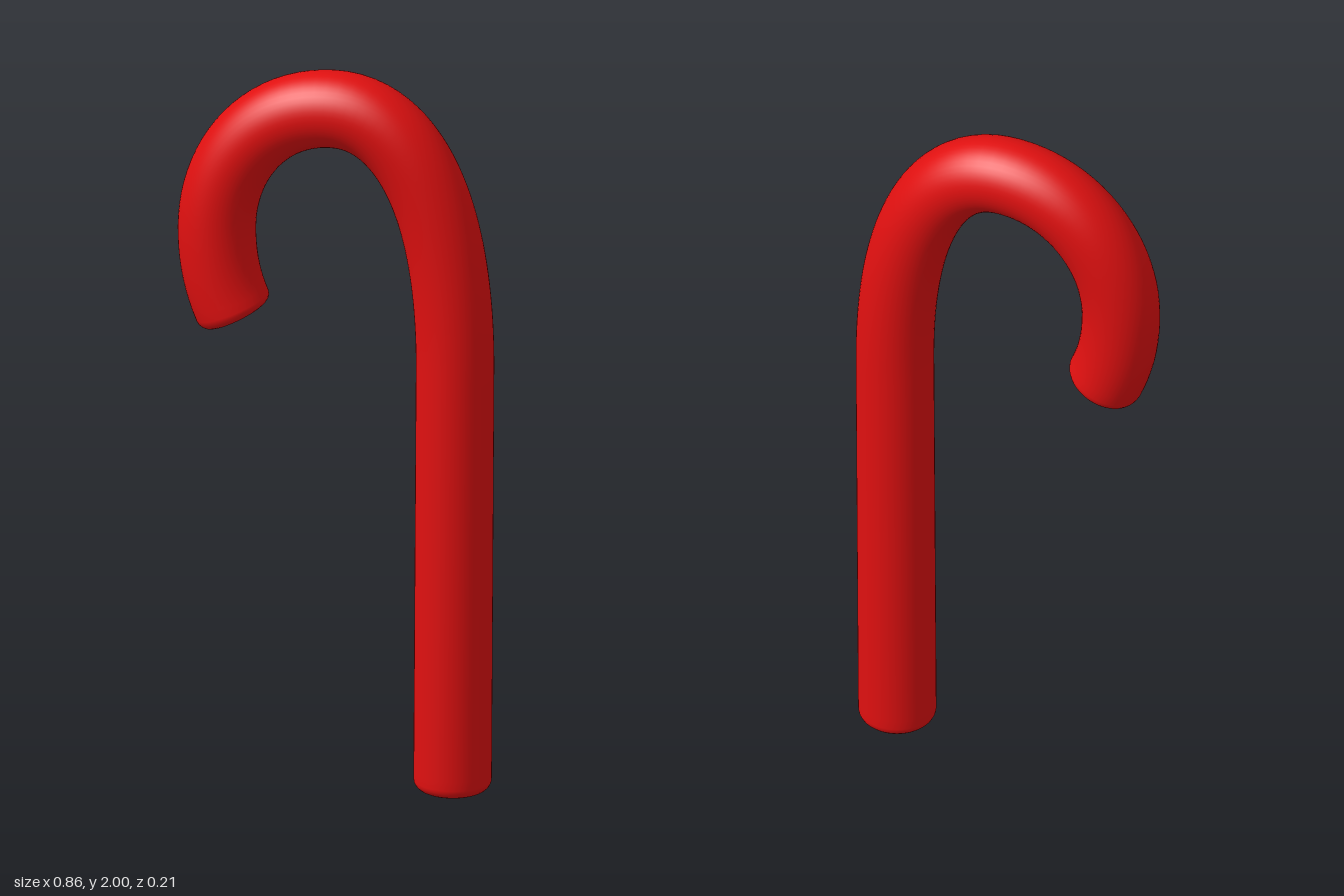
import * as THREE from 'three';

const RADIUS = 0.104, BEVEL = 0.028, SIDES = 48, STEPS = 110, BEVEL_STEPS = 5;
const v = (x, y) => new THREE.Vector3(x, y, 0);

// Centre line: shaft, then crook over the top and down to the tip
function centreLine() {
  const path = new THREE.CurvePath();
  path.add(new THREE.LineCurve3(v(0.318, 0), v(0.325, 1.2)));
  path.add(new THREE.CubicBezierCurve3(v(0.325, 1.2), v(0.325, 1.68), v(0.18, 1.896), v(0, 1.896)));
  path.add(new THREE.CubicBezierCurve3(v(0, 1.896), v(-0.19, 1.896), v(-0.326, 1.73), v(-0.326, 1.53)));
  path.add(new THREE.CubicBezierCurve3(v(-0.326, 1.53), v(-0.326, 1.44), v(-0.308, 1.36), v(-0.272, 1.288)));
  return path;
}

// Round sweep along the path with rounded rims and flat closed ends
function sweep(path) {
  const length = path.getLength();
  const rims = [[0, RADIUS - BEVEL - 0.004]];
  for (let i = 0; i <= BEVEL_STEPS; i++) {
    const a = (i / BEVEL_STEPS) * Math.PI / 2;
    rims.push([BEVEL * (1 - Math.cos(a)), RADIUS - BEVEL + BEVEL * Math.sin(a)]);
  }
  const stations = [...rims];
  for (let i = 1; i < STEPS; i++) stations.push([BEVEL + (length - 2 * BEVEL) * i / STEPS, RADIUS]);
  for (const [s, r] of [...rims].reverse()) stations.push([length - s, r]);

  const positions = [], index = [];
  for (const [s, r] of stations) {
    const p = path.getPoint(s / length), t = path.getTangent(s / length);
    for (let j = 0; j < SIDES; j++) {
      const a = (j / SIDES) * Math.PI * 2, c = r * Math.cos(a);
      positions.push(p.x + t.y * c, p.y - t.x * c, r * Math.sin(a));
    }
  }
  for (let i = 0; i < stations.length - 1; i++) {
    for (let j = 0; j < SIDES; j++) {
      const k = (j + 1) % SIDES;
      const a = i * SIDES + j, b = i * SIDES + k;
      index.push(a, a + SIDES, b, b, a + SIDES, b + SIDES);
    }
  }
  // Flat end caps
  const last = (stations.length - 1) * SIDES, foot = positions.length / 3, tip = foot + 1;
  for (const u of [0, 1]) positions.push(...path.getPoint(u).toArray());
  for (let j = 0; j < SIDES; j++) {
    const k = (j + 1) % SIDES;
    index.push(foot, j, k, tip, last + k, last + j);
  }
  const geometry = new THREE.BufferGeometry();
  geometry.setAttribute('position', new THREE.Float32BufferAttribute(positions, 3));
  geometry.setIndex(index);
  geometry.computeVertexNormals();
  return geometry;
}

export function createModel() {
  const group = new THREE.Group();
  group.name = 'candyCane';
  const material = new THREE.MeshStandardMaterial({ color: 0xe01010 });
  const cane = new THREE.Mesh(sweep(centreLine()), material);
  cane.name = 'hookedCane';
  group.add(cane);
  return group;
}
